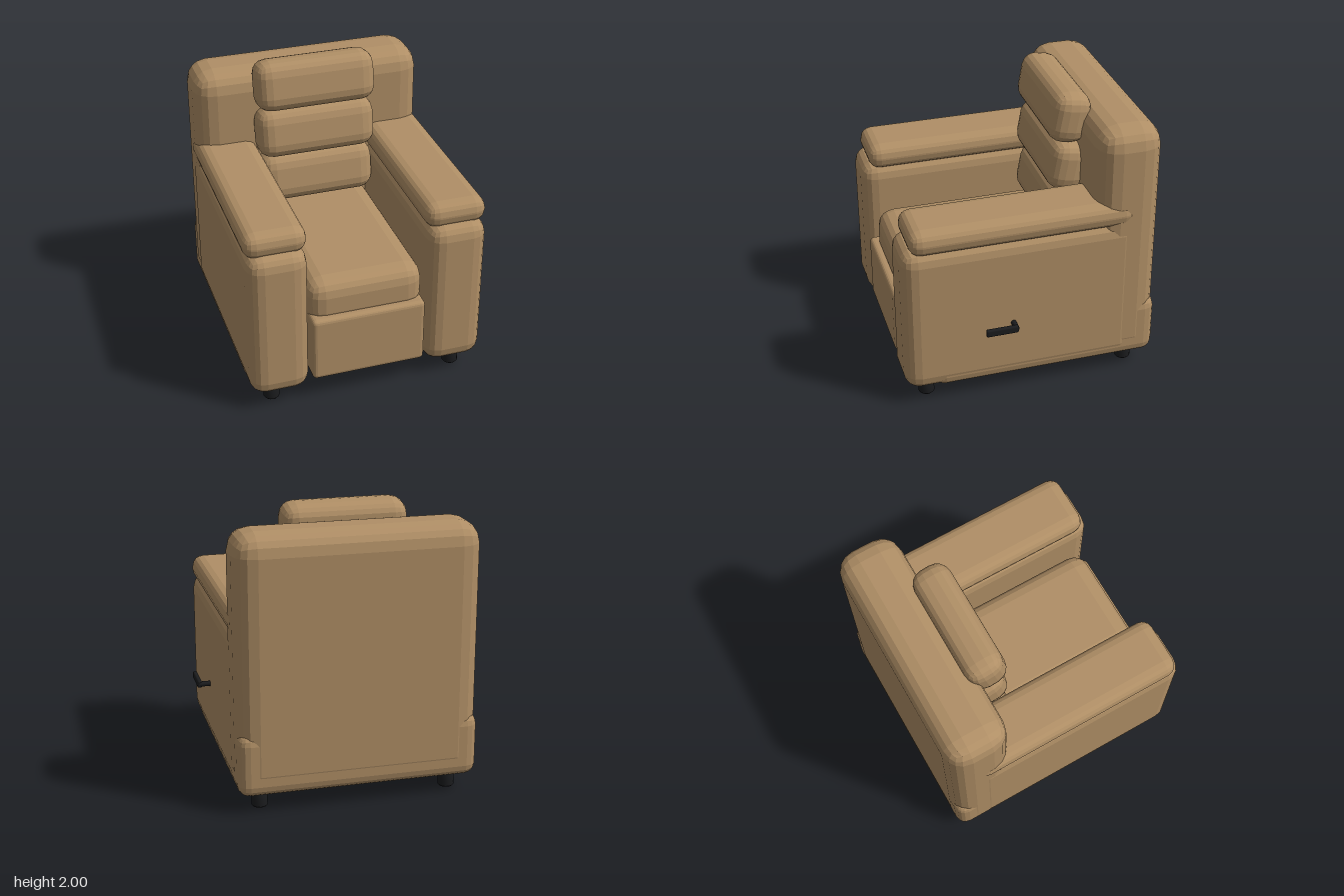
import * as THREE from 'three';
import { RoundedBoxGeometry } from 'three/addons/geometries/RoundedBoxGeometry.js';

export function createModel() {
  const leather = new THREE.MeshStandardMaterial({ color: 0xb08f66, flatShading: true });
  leather.name = 'tan leather';
  const black = new THREE.MeshStandardMaterial({ color: 0x1b1c1e });
  black.name = 'black';

  const model = new THREE.Group();
  model.name = 'armchair';
  const chair = new THREE.Group();
  chair.name = 'chairBody';
  chair.position.x = -0.045; // the lever on one side shifts the body off centre
  model.add(chair);

  // Rounded block given by its extents on each axis
  function block(name, [x0, x1], [y0, y1], [z0, z1], radius, material = leather, segments = 2) {
    const geometry = new RoundedBoxGeometry(x1 - x0, y1 - y0, z1 - z0, segments, radius);
    const mesh = new THREE.Mesh(geometry, material);
    mesh.name = name;
    mesh.position.set((x0 + x1) / 2, (y0 + y1) / 2, (z0 + z1) / 2);
    chair.add(mesh);
    return mesh;
  }

  // Frame
  block('base', [-0.83, 0.83], [0.12, 0.57], [-0.898, 0.7], 0.08);
  block('backrest', [-0.832, 0.832], [0.12, 1.9], [-0.9, -0.45], 0.15);

  // Seat and folded footrest
  block('seatCushion', [-0.412, 0.412], [0.55, 0.91], [-0.5, 0.83], 0.12);
  block('footrest', [-0.402, 0.402], [0.18, 0.66], [0.55, 0.885], 0.03);

  // Arms with padded tops
  for (const [side, s] of [['left', 1], ['right', -1]]) {
    const span = (a, b) => (s > 0 ? [a, b] : [-b, -a]);
    block(side + 'Arm', span(0.418, 0.834), [0.12, 1.225], [-0.75, 0.9], 0.11);
    block(side + 'ArmPad', span(0.41, 0.842), [1.185, 1.367], [-0.72, 0.845], 0.085);
  }

  // Stacked back cushions, each leaning back
  const cushions = [
    ['lumbarCushion', 0.42, 1.1, -0.38],
    ['middleCushion', 0.432, 1.455, -0.383],
    ['headCushion', 0.434, 1.816, -0.388],
  ];
  for (const [name, w, y, z] of cushions) {
    const cushion = block(name, [-w, w], [y - 0.181, y + 0.181], [z - 0.137, z + 0.137], 0.105);
    cushion.rotation.x = -0.17;
  }

  // Legs
  const legProfile = [[0, 0], [0.048, 0], [0.056, 0.01], [0.056, 0.2], [0, 0.2]];
  const legGeometry = new THREE.LatheGeometry(legProfile.map(([r, y]) => new THREE.Vector2(r, y)), 16);
  for (const x of [-0.663, 0.663]) {
    for (const z of [-0.73, 0.73]) {
      const leg = new THREE.Mesh(legGeometry, black);
      leg.name = (z > 0 ? 'front' : 'back') + (x > 0 ? 'Left' : 'Right') + 'Leg';
      leg.position.set(x, 0, z);
      chair.add(leg);
    }
  }

  // Recline lever
  const shaft = new THREE.Mesh(new THREE.CylinderGeometry(0.019, 0.019, 0.13, 12), black);
  shaft.name = 'leverShaft';
  shaft.rotation.z = Math.PI / 2;
  shaft.position.set(0.845, 0.575, 0.147);
  chair.add(shaft);
  block('leverHandle', [0.893, 0.925], [0.548, 0.602], [0.135, 0.36], 0.012, black);

  return model;
}
